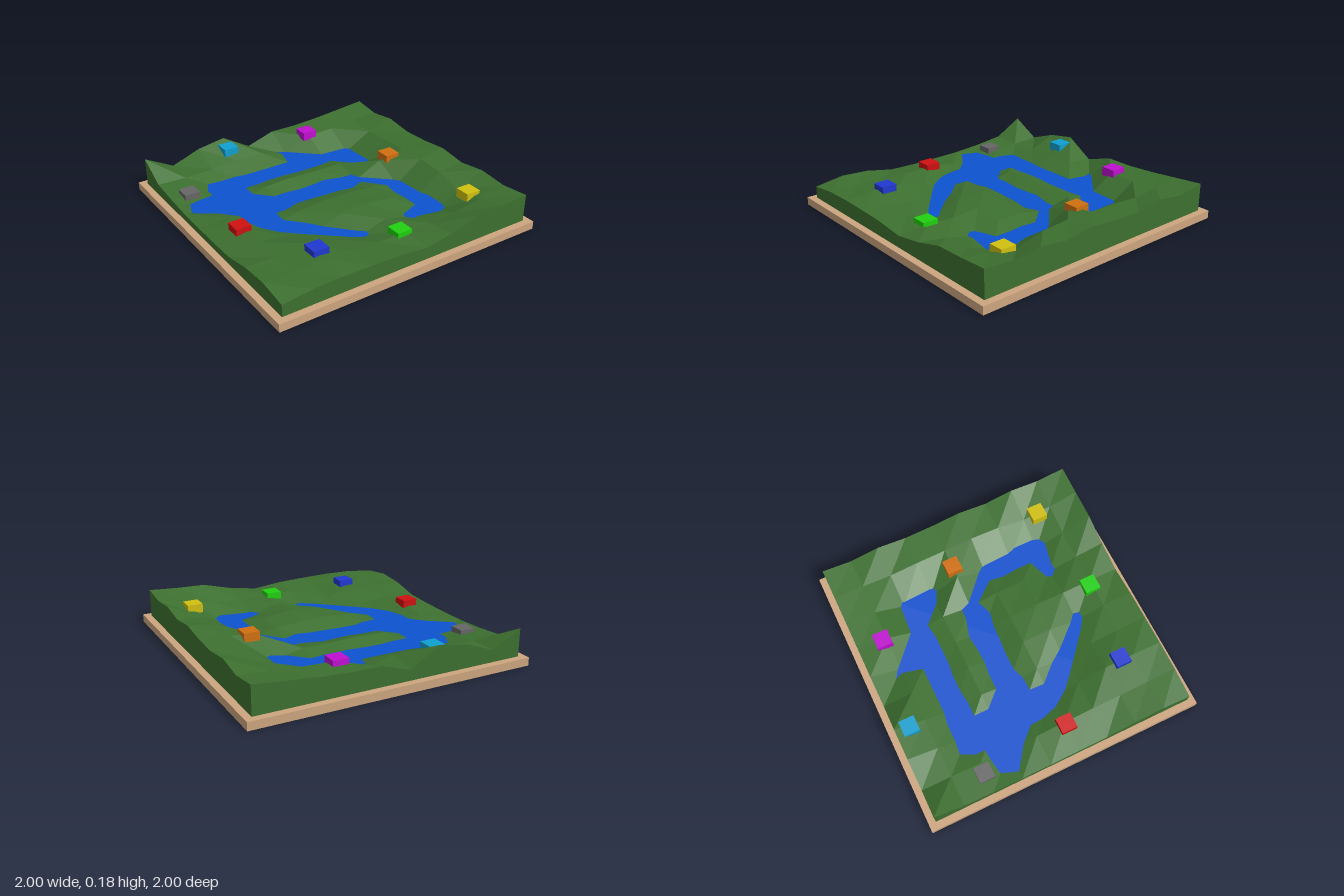
import * as THREE from 'three';

// Terrain heights in thousandths: rows run along the back-right edge, columns along the back-left edge
const HEIGHTS = [
  [180, 165, 150, 140, 140, 92, 180, 155, 100, 180],
  [160, 150, 140, 135, 62, 110, 110, 100, 95, 100],
  [180, 140, 60, 55, 50, 50, 50, 50, 80, 85],
  [160, 150, 55, 90, 90, 95, 90, 50, 52, 76],
  [165, 155, 130, 61, 50, 52, 52, 50, 85, 75],
  [180, 160, 55, 90, 100, 105, 90, 52, 100, 75],
  [160, 150, 50, 95, 110, 105, 55, 85, 105, 80],
  [180, 115, 50, 62, 100, 60, 90, 125, 110, 110],
  [165, 140, 110, 100, 108, 105, 110, 130, 115, 120],
  [180, 170, 165, 125, 100, 115, 120, 122, 118, 100],
];
const N = 9;
const HALF = 0.95;
const STEP = HALF / N;
const BASE_TOP = 0.04;
const WATER_LEVEL = 0.07;

function paint(color, side = THREE.FrontSide) {
  return new THREE.MeshStandardMaterial({ color, flatShading: true, side });
}

function addMesh(group, name, geometry, material, x = 0, y = 0, z = 0) {
  const mesh = new THREE.Mesh(geometry, material);
  mesh.name = name;
  mesh.position.set(x, y, z);
  group.add(mesh);
  return mesh;
}

// Faceted land surface with straight side walls
function terrainGeometry() {
  const positions = [];
  const top = (i, j) => [(i - j) * STEP, HEIGHTS[i][j] / 1000, (i + j) * STEP - HALF];
  const foot = (i, j) => [(i - j) * STEP, BASE_TOP, (i + j) * STEP - HALF];
  const tri = (a, b, c) => positions.push(...a, ...b, ...c);
  const wall = (a, b) => {
    tri(foot(...a), foot(...b), top(...b));
    tri(foot(...a), top(...b), top(...a));
  };
  for (let i = 0; i < N; i++) {
    for (let j = 0; j < N; j++) {
      tri(top(i, j), top(i, j + 1), top(i + 1, j));
      tri(top(i + 1, j), top(i, j + 1), top(i + 1, j + 1));
    }
    wall([i + 1, 0], [i, 0]);
    wall([i, N], [i + 1, N]);
    wall([0, i], [0, i + 1]);
    wall([N, i + 1], [N, i]);
  }
  const geometry = new THREE.BufferGeometry();
  geometry.setAttribute('position', new THREE.Float32BufferAttribute(positions, 3));
  geometry.computeVertexNormals();
  return geometry;
}

export function createModel() {
  const model = new THREE.Group();
  model.name = 'riverLandscape';

  // Wooden base board, standing on its corner in plan
  const side = Math.SQRT2;
  const base = addMesh(model, 'baseBoard', new THREE.BoxGeometry(side, BASE_TOP, side), paint(0xcda57f), 0, BASE_TOP / 2, 0);
  base.rotation.y = Math.PI / 4;

  addMesh(model, 'terrain', terrainGeometry(), paint(0x3d7030, THREE.DoubleSide));

  // Water sheet; the land rises through it to form shores and islands
  const sheet = (HALF - 0.01) * Math.SQRT2;
  const water = new THREE.PlaneGeometry(sheet, sheet).rotateX(-Math.PI / 2).rotateY(Math.PI / 4);
  addMesh(model, 'water', water, paint(0x0d52d0, THREE.DoubleSide), 0, WATER_LEVEL, 0);

  // Coloured marker blocks half sunk in the land: name, colour, x, top, z
  const blocks = [
    ['magentaBlock', 0xc010d0, -0.23, 0.165, -0.54],
    ['orangeBlock', 0xd07010, 0.25, 0.165, -0.355],
    ['cyanBlock', 0x10a0d0, -0.59, 0.165, -0.26],
    ['yellowBlock', 0xd0c010, 0.68, 0.155, -0.05],
    ['greyBlock', 0x666666, -0.67, 0.105, 0.14],
    ['greenBlock', 0x20d010, 0.395, 0.13, 0.325],
    ['redBlock', 0xd01010, -0.325, 0.127, 0.43],
    ['blueBlock', 0x2038d0, 0.065, 0.155, 0.58],
  ];
  const size = 0.078;
  const tall = 0.045;
  for (const [name, color, x, top, z] of blocks) {
    const block = addMesh(model, name, new THREE.BoxGeometry(size, tall, size), paint(color), x, top - tall / 2, z);
    block.rotation.y = Math.PI / 4;
  }
  return model;
}
